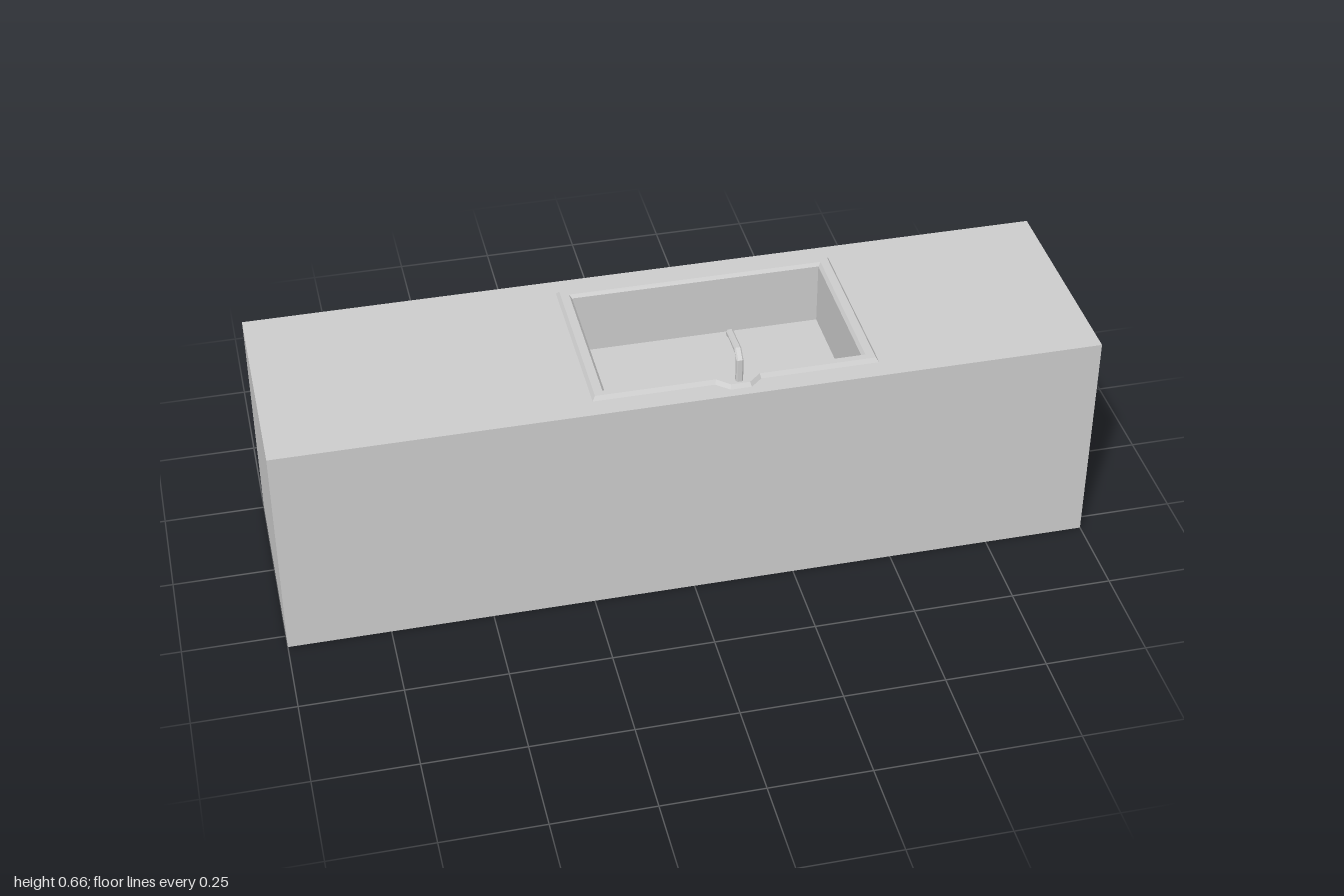
import * as THREE from 'three';

const material = new THREE.MeshStandardMaterial({ color: 0xcccccc, flatShading: true });
const basinMaterial = new THREE.MeshStandardMaterial({ color: 0xcccccc, flatShading: true, side: THREE.BackSide });

const TOP = 0.57, LIP = 0.547, BACK = -0.256, FRONT = 0.29;

function part(name, geometry, mat = material) {
  const mesh = new THREE.Mesh(geometry, mat);
  mesh.name = name;
  return mesh;
}

// Box between two corners
function box(x0, x1, y0, y1, z0, z1) {
  return new THREE.BoxGeometry(x1 - x0, y1 - y0, z1 - z0)
    .translate((x0 + x1) / 2, (y0 + y1) / 2, (z0 + z1) / 2);
}

// Box between two corners without its top face
function openBox(...limits) {
  const geometry = box(...limits);
  const index = Array.from(geometry.index.array);
  index.splice(12, 6);
  geometry.setIndex(index);
  geometry.clearGroups();
  return geometry;
}

function outline(points, Type = THREE.Shape) {
  return new Type(points.map(([a, b]) => new THREE.Vector2(a, b)));
}

function rectangle(x0, x1, z0, z1) {
  return [[x0, z0], [x1, z0], [x1, z1], [x0, z1]];
}

// Plan shape (x, z) extruded downwards from the given height
function slab(points, hole, y, options) {
  const shape = outline(points);
  shape.holes.push(outline(hole, THREE.Path));
  return new THREE.ExtrudeGeometry(shape, options).rotateX(Math.PI / 2).translate(0, y, 0);
}

// Side profile (z, y) extruded along x, centred on x
function sideExtrude(points, x, width, bevel) {
  const shape = outline(points.map(([z, y]) => [-z, y]));
  return new THREE.ExtrudeGeometry(shape, {
    depth: width - 2 * bevel, bevelEnabled: bevel > 0,
    bevelSize: bevel, bevelOffset: -bevel, bevelThickness: bevel, bevelSegments: 1,
  }).translate(0, 0, bevel - width / 2).rotateY(Math.PI / 2).translate(x, 0, 0);
}

// Bar handle on two posts
function handle(name, x0, x1, y, posts) {
  const group = new THREE.Group();
  group.name = name;
  group.add(part('handleBar', box(x0, x1, y - 0.0055, y + 0.0055, -0.288, -0.277)));
  for (const x of posts) {
    group.add(part('handlePost', box(x - 0.004, x + 0.004, y - 0.0035, y + 0.0035, -0.278, BACK + 0.002)));
  }
  return group;
}

export function createModel() {
  const model = new THREE.Group();
  model.name = 'sinkCabinet';

  // Cabinet and worktop with the sink cut-out
  model.add(part('cabinet', openBox(-1, 1, 0, LIP, BACK, FRONT)));
  model.add(part('worktop', slab(
    rectangle(-1, 1, -0.263, FRONT), rectangle(-0.212, 0.437, -0.192, 0.219), TOP,
    { depth: TOP - LIP, bevelEnabled: false })));
  model.add(part('worktopCove', sideExtrude(
    [[BACK, 0.54], [-0.258, 0.545], [-0.262, LIP], [BACK, LIP]], 0, 2, 0)));

  // Raised rim with a tap ledge, sloping on both edges
  const rim = [[-0.228, -0.205], [0.453, -0.205], [0.453, 0.231], [0.168, 0.231],
    [0.138, 0.258], [0.092, 0.258], [0.062, 0.231], [-0.228, 0.231]];
  model.add(part('sinkRim', slab(rim, rectangle(-0.207, 0.432, -0.187, 0.214), TOP, {
    depth: 0.002, bevelSize: 0.007, bevelThickness: 0.01, bevelSegments: 1,
  })));
  model.add(part('basin', openBox(-0.2, 0.425, 0.41, 0.572, -0.18, 0.207), basinMaterial));

  // Tap
  model.add(part('tap', sideExtrude([
    [0.252, 0.572], [0.252, 0.641], [0.228, 0.662], [0.146, 0.657], [0.142, 0.641],
    [0.158, 0.641], [0.161, 0.647], [0.23, 0.647], [0.236, 0.64], [0.236, 0.572],
  ], 0.115, 0.017, 0.0035)));

  // Drawer handles
  for (const [level, y] of [['upper', 0.428], ['lower', 0.228]]) {
    model.add(handle(level + 'LeftHandle', 0.4, 0.85, y, [0.48, 0.765]));
    model.add(handle(level + 'RightHandle', -0.805, -0.355, y, [-0.725, -0.44]));
  }
  model.add(handle('middleHandle', -0.145, 0.37, 0.406, [-0.05, 0.275]));

  return model;
}
